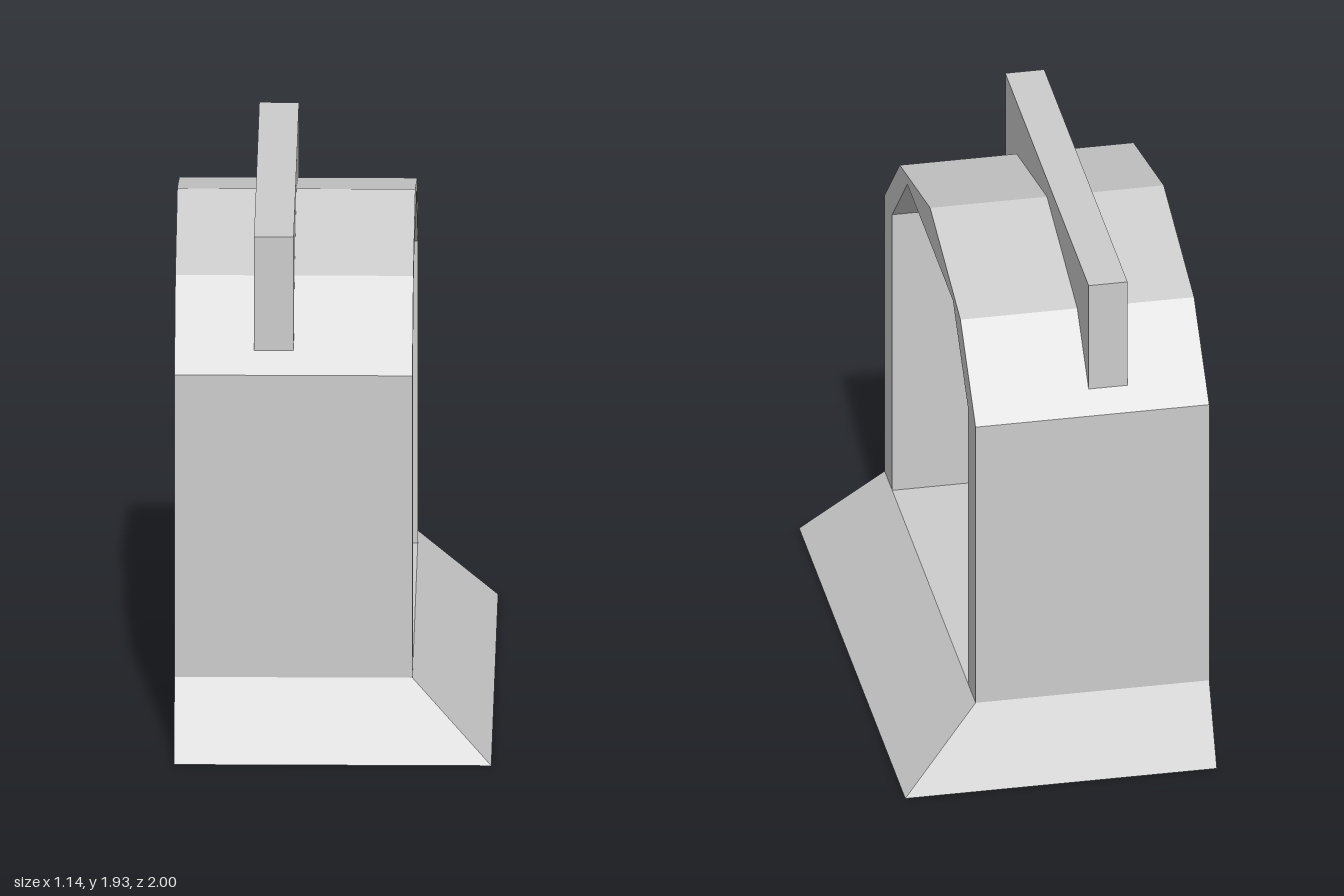
import * as THREE from 'three';

const U = 1 / 7; // module unit used by every dimension

export function createModel() {
  const model = new THREE.Group();
  const grey = new THREE.MeshStandardMaterial({ color: 0xcccccc });
  grey.name = 'light grey';

  const add = (name, geometry) => {
    const mesh = new THREE.Mesh(geometry, grey);
    mesh.name = name;
    model.add(mesh);
    return mesh;
  };

  // Extrudes a (z, y) outline from x0 to x1, all in module units
  const extrudeX = (outline, x0, x1) => {
    const shape = new THREE.Shape(outline.map(([z, y]) => new THREE.Vector2(z * U, y * U)));
    return new THREE.ExtrudeGeometry(shape, { depth: (x1 - x0) * U, bevelEnabled: false })
      .rotateY(Math.PI / 2)
      .translate(x0 * U, 0, 0);
  };

  // Plinth: flush on the right side, flared on the other three
  const plinth = new THREE.BoxGeometry(8 * U, 2 * U, 14 * U).translate(0, U, 0);
  const p = plinth.attributes.position;
  for (let i = 0; i < p.count; i++) {
    if (p.getY(i) < U) continue;
    if (p.getX(i) > 0) p.setX(i, 2 * U);
    p.setZ(i, Math.sign(p.getZ(i)) * 6 * U);
  }
  const flatPlinth = plinth.toNonIndexed();
  flatPlinth.computeVertexNormals();
  add('plinth', flatPlinth);

  // Arched frame, open on both sides
  add('archFrame', extrudeX([
    [-6, 2], [-5, 2], [-5, 10], [-3, 12], [3, 12], [5, 10], [5, 2], [6, 2],
    [6, 10], [4, 12], [0, 13], [-4, 12], [-6, 10],
  ], -4, 2));

  // Inner panel hung in the arch, with a gap above the plinth
  add('innerPanel', extrudeX([
    [-5, 2.5], [5, 2.5], [5, 10], [3, 12], [-3, 12], [-5, 10],
  ], -2, -1));

  // Upright bar across the roof
  const bar = add('roofBar', new THREE.BoxGeometry(U, 3 * U, 11 * U));
  bar.position.set(-1.5 * U, 12 * U, 0);

  return model;
}
